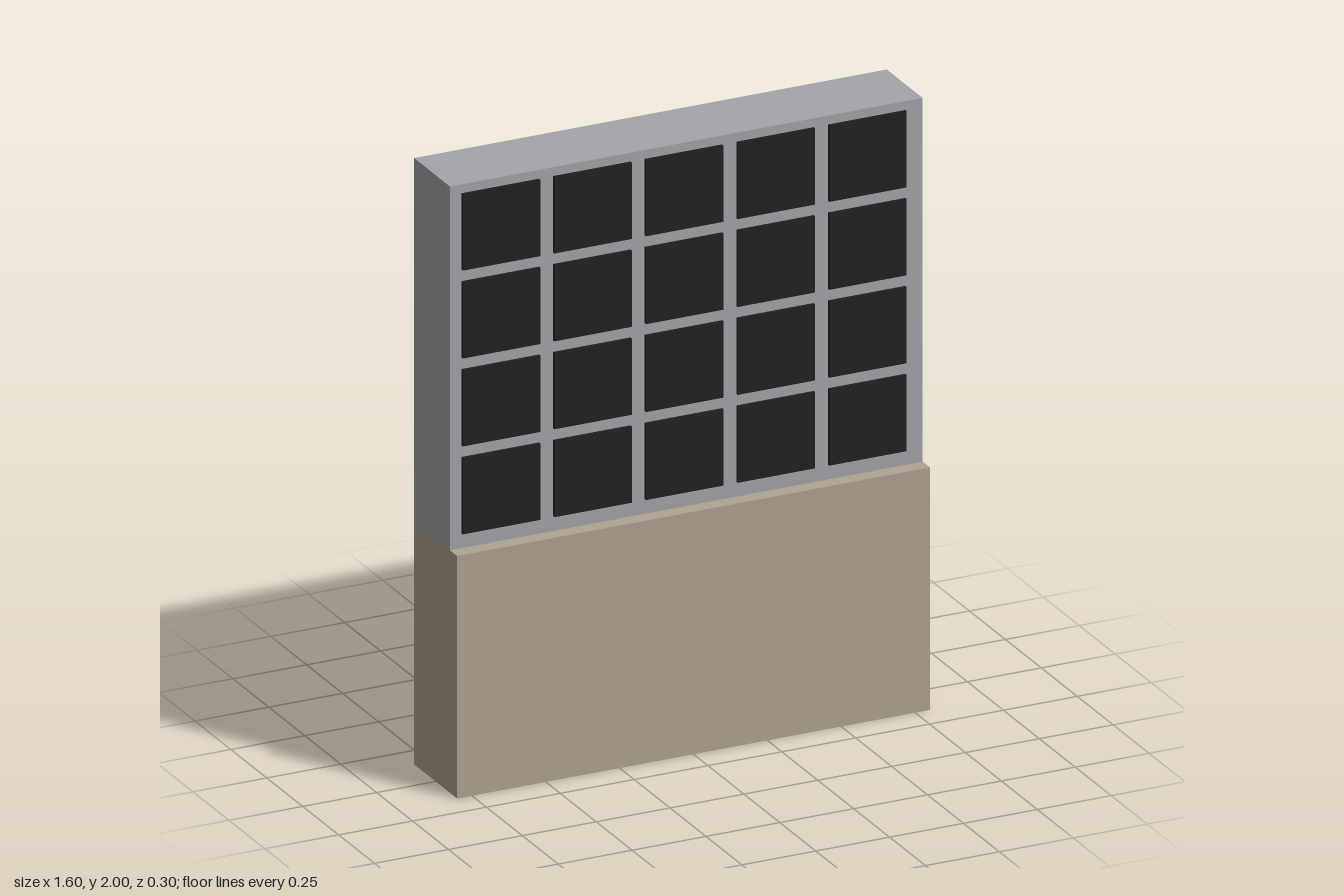
import * as THREE from 'three';

export function createModel() {
  const model = new THREE.Group();
  const mat = (name, color) => {
    const m = new THREE.MeshStandardMaterial({ color });
    m.name = name;
    return m;
  };
  const stone = mat('tan stone', 0xb0a490);
  const grey = mat('grey concrete', 0xa3a5aa);
  const dark = mat('dark panel', 0x222222);

  // Box placed by its centre
  const box = (name, material, size, position, parent = model) => {
    const mesh = new THREE.Mesh(new THREE.BoxGeometry(...size), material);
    mesh.name = name;
    mesh.position.set(...position);
    parent.add(mesh);
    return mesh;
  };

  // Thicker base, with the upper wall flush at the back
  box('base', stone, [1.6, 0.8, 0.3], [0, 0.4, 0]);
  box('upperWall', grey, [1.6, 1.2, 0.25], [0, 1.4, -0.025]);

  // Grid of thin dark panels on the front of the upper wall
  const panels = new THREE.Group();
  panels.name = 'panels';
  model.add(panels);
  for (let row = 0; row < 4; row++) {
    for (let col = 0; col < 5; col++) {
      box('panel', dark, [0.262, 0.252, 0.0095],
        [-0.63 + col * 0.31, 0.975 + row * 0.29, 0.1048], panels);
    }
  }
  return model;
}
